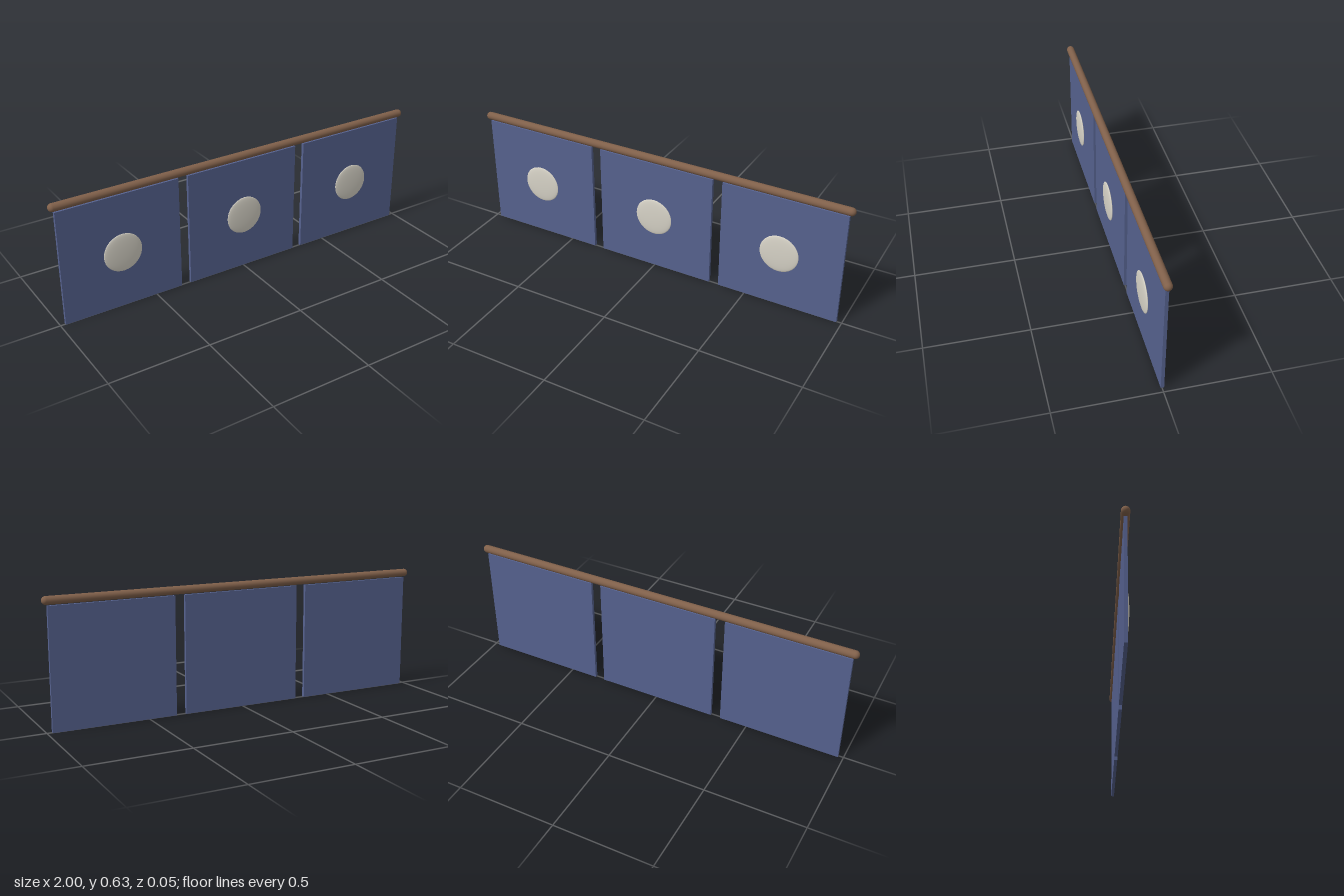
import * as THREE from 'three';

export function createModel() {
  const model = new THREE.Group();
  model.name = 'hangingCurtain';
  const material = (name, color) => {
    const m = new THREE.MeshStandardMaterial({ color });
    m.name = name;
    return m;
  };
  const wood = material('brown wood', 0x80604a);
  const cloth = material('indigo cloth', 0x56628f);
  const cream = material('cream', 0xd8d4c8);

  const add = (name, geometry, mat, x, y, z) => {
    const mesh = new THREE.Mesh(geometry, mat);
    mesh.name = name;
    mesh.position.set(x, y, z);
    model.add(mesh);
    return mesh;
  };

  // Round-ended rod along the top
  const rodGeometry = new THREE.CapsuleGeometry(0.02, 1.96, 8, 20);
  rodGeometry.rotateZ(Math.PI / 2);
  add('rod', rodGeometry, wood, 0, 0.61, -0.002);

  // Three cloth panels, each with a shallow domed disc on its front
  const panelGeometry = new THREE.BoxGeometry(0.616, 0.586, 0.016);
  const discGeometry = new THREE.SphereGeometry(0.098, 32, 20);
  discGeometry.rotateX(Math.PI / 2);
  discGeometry.scale(1, 1, 0.095);
  ['right', 'middle', 'left'].forEach((side, i) => {
    const x = (i - 1) * 0.667;
    add(side + 'Panel', panelGeometry, cloth, x, 0.293, -0.002);
    add(side + 'Disc', discGeometry, cream, x, 0.293, 0.015);
  });

  return model;
}
